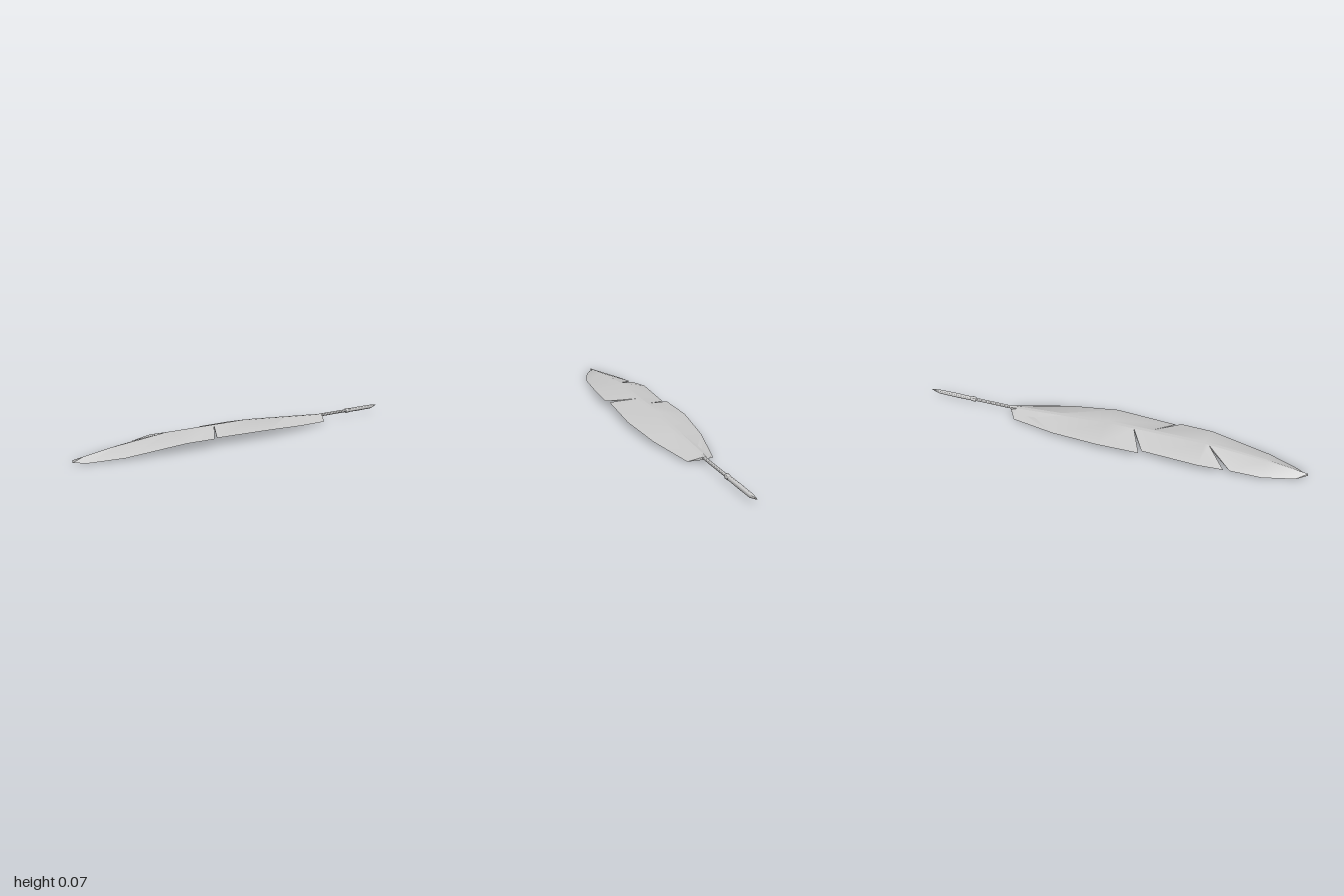
import * as THREE from 'three';
import { toCreasedNormals } from 'three/addons/utils/BufferGeometryUtils.js';

const THICK = 0.012;

// piecewise-linear lookup through [z, value] knots
function curve(knots) {
  return (z) => {
    let i = 1;
    while (i < knots.length - 1 && z > knots[i][0]) i++;
    const [z0, a] = knots[i - 1], [z1, b] = knots[i];
    return a + ((b - a) * (z - z0)) / (z1 - z0);
  };
}
const ridgeY = curve([[-0.53, 0.033], [0, 0.068], [0.5, 0.068], [0.8, 0.041], [1, 0.015]]);
const ridgeX = curve([[-0.53, 0.01], [0.5, 0.01], [0.8, 0.006], [1, 0]]);
const edgeY = curve([[-0.53, 0.02], [-0.49, 0.005], [-0.25, 0.021], [0, 0.036], [0.5, 0.037],
  [0.8, 0.008], [0.95, 0], [1, 0.003]]);

// barbs between the splits: [ridge z, edge half width, edge z]
const base = [[-0.53, 0.01, -0.53], [-0.49, 0.065, -0.49], [-0.25, 0.125, -0.25], [0, 0.155, 0]];
const tip = [[0.8, 0.095, 0.8], [0.95, 0.04, 0.95], [1, 0, 1]];
const leftBarbs = [
  [...base, [0.23, 0.133, 0.315]],
  [[0.23, 0.146, 0.34], [0.5, 0.141, 0.5], ...tip],
];
const rightBarbs = [
  [...base, [0.14, 0.15, 0.21]],
  [[0.14, 0.13, 0.22], [0.5, 0.144, 0.5], [0.52, 0.121, 0.62]],
  [[0.52, 0.115, 0.65], ...tip],
];

function surface(name, points, material) {
  const geo = new THREE.BufferGeometry();
  geo.setAttribute('position', new THREE.Float32BufferAttribute(points.flat(), 3));
  const mesh = new THREE.Mesh(toCreasedNormals(geo, 0.5), material);
  mesh.name = name;
  return mesh;
}

// adds a polygon as a triangle fan
function face(out, corners, flip) {
  const c = flip ? [...corners].reverse() : corners;
  for (let i = 1; i < c.length - 1; i++) out.push(c[0], c[i], c[i + 1]);
}

function buildVane(material) {
  const out = [];
  const ridge = (z, s, drop) => [s * ridgeX(z), ridgeY(z) - drop, z];
  const edge = ([, x, z], s) => [s * x, edgeY(z), z];

  for (const [barbs, s] of [[leftBarbs, 1], [rightBarbs, -1]]) {
    const flip = s < 0;
    for (const barb of barbs) {
      // upper and lower skins meeting at a sharp outer edge
      for (let i = 0; i < barb.length - 1; i++) {
        const a = barb[i], b = barb[i + 1];
        for (const drop of [0, THICK]) {
          face(out, [ridge(a[0], s, drop), ridge(b[0], s, drop), edge(b, s), edge(a, s)],
            drop > 0 ? !flip : flip);
        }
      }
      // thin walls where a split cuts the vane
      const wall = (p) => [ridge(p[0], s, 0), ridge(p[0], s, THICK), edge(p, s)];
      face(out, wall(barb[0]), !flip);
      const last = barb[barb.length - 1];
      if (last[1] > 0) face(out, wall(last), flip);
    }
  }

  // flat strip along the ridge, above and below
  const zs = [-0.53, 0, 0.5, 0.8, 1];
  for (let i = 0; i < zs.length - 1; i++) {
    for (const drop of [0, THICK]) {
      face(out, [ridge(zs[i], -1, drop), ridge(zs[i + 1], -1, drop),
        ridge(zs[i + 1], 1, drop), ridge(zs[i], 1, drop)], drop > 0);
    }
  }
  // closed rear end of the strip
  face(out, [ridge(-0.53, -1, 0), ridge(-0.53, 1, 0), ridge(-0.53, 1, THICK), ridge(-0.53, -1, THICK)]);
  return surface('vane', out, material);
}

// turned part running backwards along z; profile is [radius, distance behind the centre]
function turned(name, profile, material) {
  const geo = new THREE.LatheGeometry(profile.map(([r, d]) => new THREE.Vector2(r, d)), 8);
  geo.rotateX(-Math.PI / 2);
  geo.translate(0, 0.028, 0);
  // lift the writing end so its underside is cut to a point
  const p = geo.attributes.position;
  for (let i = 0; i < p.count; i++) {
    const z = p.getZ(i);
    if (z < -0.95) p.setY(i, p.getY(i) + ((-0.95 - z) / 0.05) * 0.005);
  }
  const mesh = new THREE.Mesh(toCreasedNormals(geo, 0.9), material);
  mesh.name = name;
  return mesh;
}

export function createModel() {
  const group = new THREE.Group();
  group.name = 'featherPen';
  const material = new THREE.MeshStandardMaterial({ color: 0xcccccc, side: THREE.DoubleSide });
  group.add(buildVane(material));
  group.add(turned('shaft', [[0, 0.49], [0.008, 0.5], [0.008, 0.75]], material));
  group.add(turned('collar', [[0.008, 0.735], [0.013, 0.74], [0.013, 0.76], [0.01, 0.765]], material));
  group.add(turned('nib', [[0, 0.76], [0.0105, 0.765], [0.0115, 0.85], [0.0105, 0.95], [0.002, 0.995], [0, 1]],
    material));
  return group;
}
